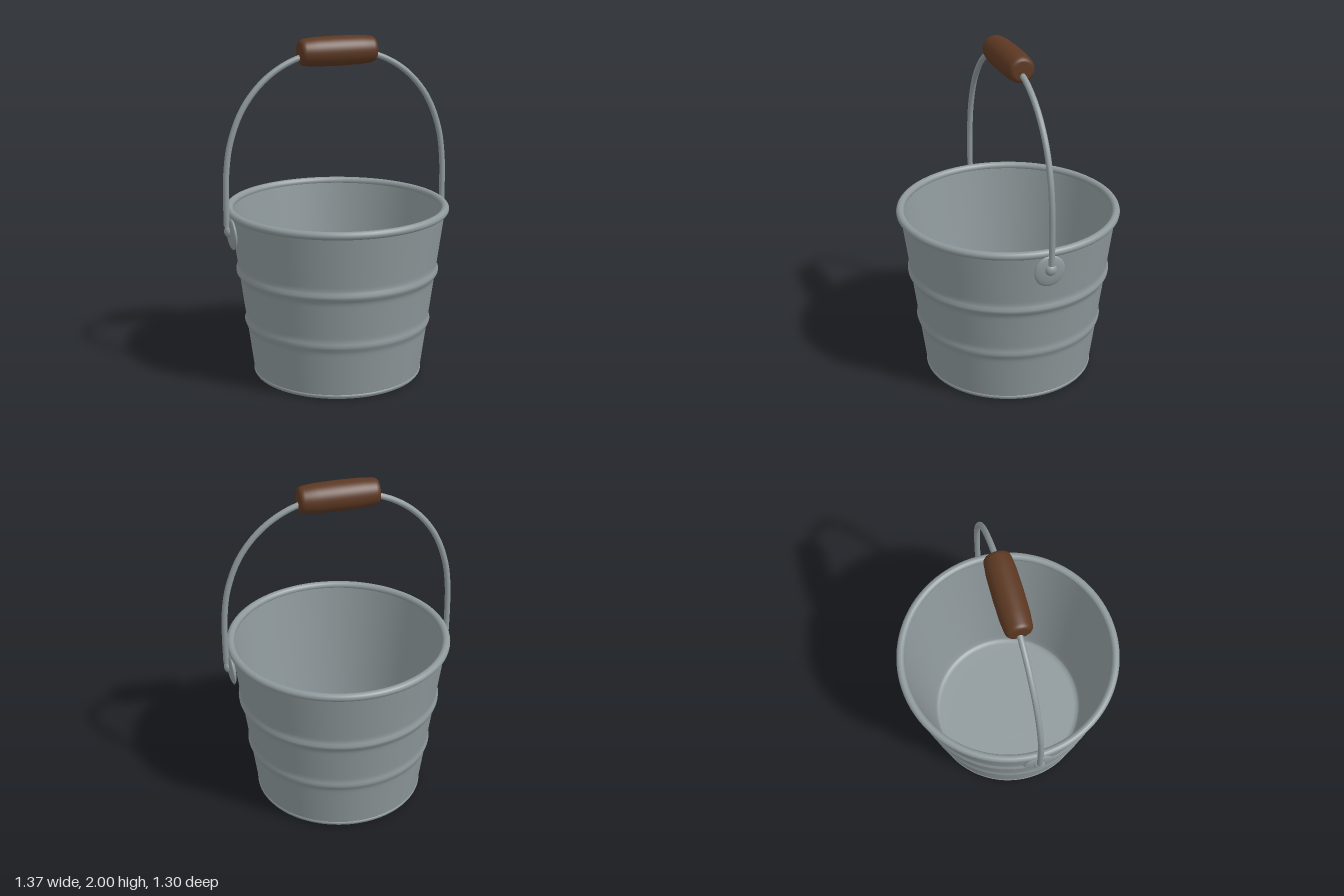
import * as THREE from 'three';

const steel = new THREE.MeshStandardMaterial({ color: 0x8e989b });
steel.name = 'galvanised steel';
const wood = new THREE.MeshStandardMaterial({ color: 0x5c3822 });
wood.name = 'brown wood';

export function createModel() {
  const bucket = new THREE.Group();
  bucket.name = 'bucket';

  function add(name, geometry, material, parent = bucket) {
    const mesh = new THREE.Mesh(geometry, material);
    mesh.name = name;
    parent.add(mesh);
    return mesh;
  }
  const lathe = (points, segments = 96) =>
    new THREE.LatheGeometry(points.map(([r, y]) => new THREE.Vector2(r, y)), segments);

  // Underside
  add('base', lathe([[0, 0.002], [0.475, 0.002]]), steel);

  // Outer wall: a straight taper with two rounded reinforcing beads
  const wall = [[0.465, 0.002], [0.484, 0.008]];
  for (let i = 0; i <= 64; i++) {
    const y = 0.012 + (i / 64) * 0.993;
    const bead = (c, h) => h * Math.exp(-(((y - c) / 0.022) ** 2));
    wall.push([0.489 + 0.137 * y + bead(0.335, 0.012) + bead(0.64, 0.017), y]);
  }
  add('outerWall', lathe(wall), steel);

  // Inner wall and floor, slightly rounded where they meet
  add('innerWall', lathe([[0.607, 1.005], [0.54, 0.54], [0.475, 0.09], [0.462, 0.05]]), steel);
  add('floor', lathe([[0.462, 0.05], [0.452, 0.036], [0.43, 0.032], [0.2, 0.03], [0, 0.03]]), steel);

  // Rolled rim and foot ring
  const ring = (name, radius, tube, y) => {
    const mesh = add(name, new THREE.TorusGeometry(radius, tube, 16, 96), steel);
    mesh.rotation.x = Math.PI / 2;
    mesh.position.y = y;
  };
  ring('rolledRim', 0.626, 0.023, 1.008);
  ring('footRing', 0.484, 0.013, 0.026);

  // Domed ears and rivets holding the bail on each side
  for (const side of [1, -1]) {
    const ear = new THREE.Group();
    ear.name = side > 0 ? 'leftEar' : 'rightEar';
    bucket.add(ear);
    const plate = add('earPlate', new THREE.SphereGeometry(1, 40, 24), steel, ear);
    plate.scale.set(0.02, 0.095, 0.09);
    plate.position.set(side * 0.638, 0.905, 0);
    plate.rotation.z = -side * 0.06;
    const rivet = add('rivet', new THREE.SphereGeometry(0.034, 24, 16), steel, ear);
    rivet.scale.x = 0.8;
    rivet.position.set(side * 0.654, 0.92, 0);
  }

  // Bail wire, mirrored about the centre
  const half = [[0.666, 0.95], [0.667, 1.1], [0.662, 1.26], [0.638, 1.42],
    [0.57, 1.6], [0.47, 1.735], [0.35, 1.83], [0.21, 1.89]];
  const path = [
    ...half.map(([x, y]) => new THREE.Vector3(-x, y, 0)),
    new THREE.Vector3(0, 1.915, 0),
    ...half.slice().reverse().map(([x, y]) => new THREE.Vector3(x, y, 0)),
  ];
  add('bailWire', new THREE.TubeGeometry(new THREE.CatmullRomCurve3(path), 96, 0.017, 14), steel);
  for (const side of [1, -1]) {
    const cap = add('bailEnd', new THREE.CircleGeometry(0.017, 14), steel);
    cap.rotation.x = Math.PI / 2;
    cap.position.set(side * 0.666, 0.95, 0);
  }

  // Wooden grip with softened ends
  const grip = add('grip', lathe([[0, -0.228], [0.05, -0.228], [0.062, -0.225], [0.071, -0.216],
    [0.076, -0.2], [0.083, -0.13], [0.085, 0], [0.083, 0.13],
    [0.076, 0.2], [0.071, 0.216], [0.062, 0.225], [0.05, 0.228], [0, 0.228]], 48), wood);
  grip.rotation.z = Math.PI / 2;
  grip.position.y = 1.915;

  return bucket;
}
